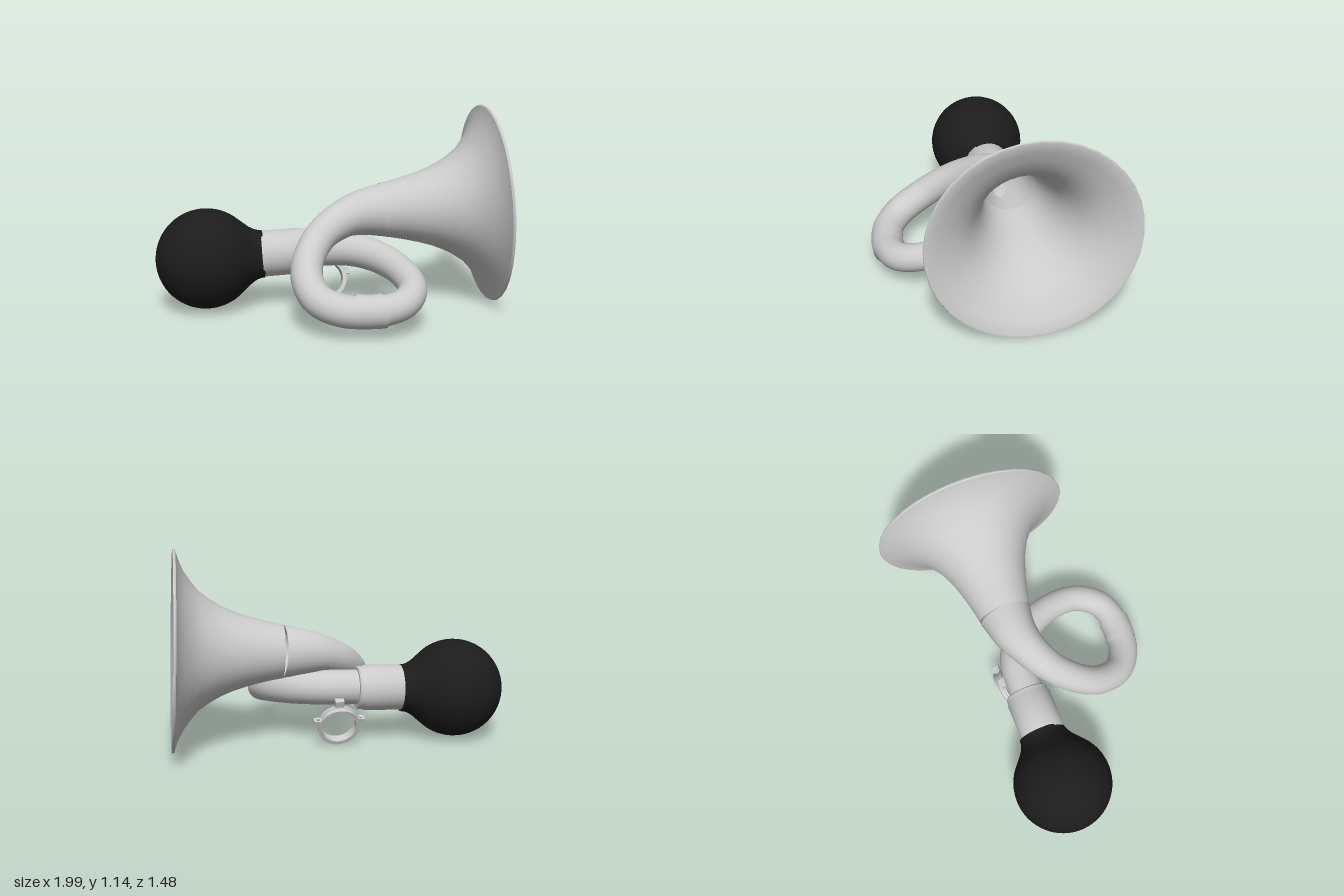
import * as THREE from 'three';
import { toCreasedNormals } from 'three/addons/utils/BufferGeometryUtils.js';

const metal = new THREE.MeshStandardMaterial({ color: 0xcccccc, side: THREE.DoubleSide });
const rubber = new THREE.MeshStandardMaterial({ color: 0x1c1c1c, side: THREE.DoubleSide });
const UP = new THREE.Vector3(0, 1, 0);

// Lathe whose axis starts at `from` and runs along `dir`; profile = [radius, distance]
function turned(name, profile, from, dir, material = metal, segments = 40) {
  const pts = profile.map(([r, t]) => new THREE.Vector2(r, t));
  const geo = toCreasedNormals(new THREE.LatheGeometry(pts, segments), 0.6);
  const mesh = new THREE.Mesh(geo, material);
  mesh.name = name;
  mesh.position.set(...from);
  mesh.quaternion.setFromUnitVectors(UP, new THREE.Vector3(...dir).normalize());
  return mesh;
}

// Swept pipe with a varying radius; stations = [x, y, z, radius]
function pipe(name, stations, steps, sides = 28) {
  const curve = new THREE.CatmullRomCurve3(stations.map(([x, y, z]) => new THREE.Vector3(x, y, z)));
  const geo = new THREE.TubeGeometry(curve, steps, 1, sides, false);
  const pos = geo.attributes.position;
  const v = new THREE.Vector3();
  for (let i = 0; i <= steps; i++) {
    const centre = curve.getPointAt(i / steps);
    const k = curve.getUtoTmapping(i / steps) * (stations.length - 1);
    const a = Math.min(Math.floor(k), stations.length - 2);
    const r = THREE.MathUtils.lerp(stations[a][3], stations[a + 1][3], k - a);
    for (let j = 0; j <= sides; j++) {
      const n = i * (sides + 1) + j;
      v.fromBufferAttribute(pos, n).sub(centre).multiplyScalar(r).add(centre);
      pos.setXYZ(n, v.x, v.y, v.z);
    }
  }
  const mesh = new THREE.Mesh(geo, metal);
  mesh.name = name;
  return mesh;
}

// Ring hung under the pipe, with a grooved band, two lugs and a bracket
function mountingRing() {
  const ring = new THREE.Group();
  ring.name = 'mountingRing';
  const band = turned('ringBand', [
    [0.098, -0.026], [0.12, -0.026], [0.12, -0.014], [0.112, -0.01], [0.112, 0.01],
    [0.12, 0.014], [0.12, 0.026], [0.098, 0.026], [0.098, -0.026],
  ], [0, 0, 0], [0, 0, 1]);
  ring.add(band);
  for (const side of [-1, 1]) {
    const lug = new THREE.Mesh(new THREE.BoxGeometry(0.045, 0.026, 0.036), metal);
    lug.name = 'ringLug';
    lug.position.set(side * 0.124, 0.035, 0);
    const screw = new THREE.Mesh(new THREE.CylinderGeometry(0.011, 0.011, 0.046, 12), metal);
    screw.name = 'lugScrew';
    screw.position.copy(lug.position);
    ring.add(lug, screw);
  }
  const bracket = new THREE.Mesh(new THREE.BoxGeometry(0.05, 0.06, 0.035), metal);
  bracket.name = 'ringBracket';
  bracket.position.set(0, 0.125, 0.03);
  ring.add(bracket);
  ring.position.set(-0.06, 0.128, -0.09);
  ring.lookAt(-0.06 + 0.25, 0.128 + 0.36, -0.09 + 0.9);
  return ring;
}

export function createModel() {
  const horn = new THREE.Group();
  horn.name = 'bulbHorn';
  const stemDir = [0.97, 0.04, -0.25];

  // Rubber bulb: most of a sphere, flowing into a neck
  const bulb = [];
  for (let i = 0; i <= 24; i++) {
    const a = (i / 24) * Math.PI * 0.74;
    bulb.push([0.283 * Math.sin(a), -0.283 * Math.cos(a)]);
  }
  bulb.push([0.178, 0.228], [0.16, 0.25], [0.146, 0.275], [0.138, 0.298], [0.136, 0.32], [0, 0.32]);
  horn.add(turned('bulb', bulb, [-0.717, 0.298, 0.15], stemDir, rubber, 48));

  // Sleeve joining the bulb to the pipe
  horn.add(turned('sleeve', [
    [0, 0], [0.128, 0], [0.131, 0.008], [0.131, 0.235], [0.125, 0.245],
    [0.125, 0.27], [0.118, 0.278], [0.09, 0.278],
  ], [-0.425, 0.312, 0.083], stemDir));

  // Pipe making one descending and rising loop
  horn.add(pipe('loopPipe', [
    [-0.2, 0.325, 0.027, 0.1], [0.05, 0.33, -0.015, 0.1], [0.22, 0.308, 0.045, 0.092],
    [0.37, 0.265, 0.2, 0.082], [0.445, 0.212, 0.4, 0.078], [0.4, 0.172, 0.55, 0.08],
    [0.28, 0.152, 0.625, 0.082], [0.1, 0.155, 0.648, 0.087], [-0.04, 0.19, 0.59, 0.087],
    [-0.115, 0.265, 0.46, 0.087], [-0.12, 0.35, 0.33, 0.087], [-0.06, 0.45, 0.17, 0.091],
    [0.05, 0.515, 0.05, 0.107], [0.15, 0.54, -0.015, 0.13], [0.265, 0.55, -0.056, 0.153],
  ], 140));

  // Collar where the two halves of the loop meet
  horn.add(pipe('loopCollar', [
    [0.15, 0.153, 0.645, 0.086], [0.158, 0.153, 0.644, 0.092], [0.225, 0.151, 0.637, 0.089],
    [0.295, 0.153, 0.618, 0.092], [0.303, 0.154, 0.615, 0.082],
  ], 24));

  // Flared bell: outer wall, rolled rim, inner wall
  const outer = [
    [0.153, 0], [0.164, 0.06], [0.18, 0.13], [0.2, 0.205], [0.224, 0.28], [0.252, 0.345],
    [0.288, 0.41], [0.335, 0.475], [0.388, 0.52], [0.446, 0.56], [0.505, 0.588], [0.555, 0.604],
  ];
  const rim = [[0.564, 0.606], [0.569, 0.613], [0.566, 0.621], [0.556, 0.622]];
  const inner = outer.slice(0, -1).reverse().map(([r, t]) => [r - 0.008, t + 0.006]);
  horn.add(turned('bell', [...outer, ...rim, ...inner], [0.26, 0.55, -0.055],
    [0.977, 0.04, -0.214], metal, 36));

  horn.add(mountingRing());
  return horn;
}
